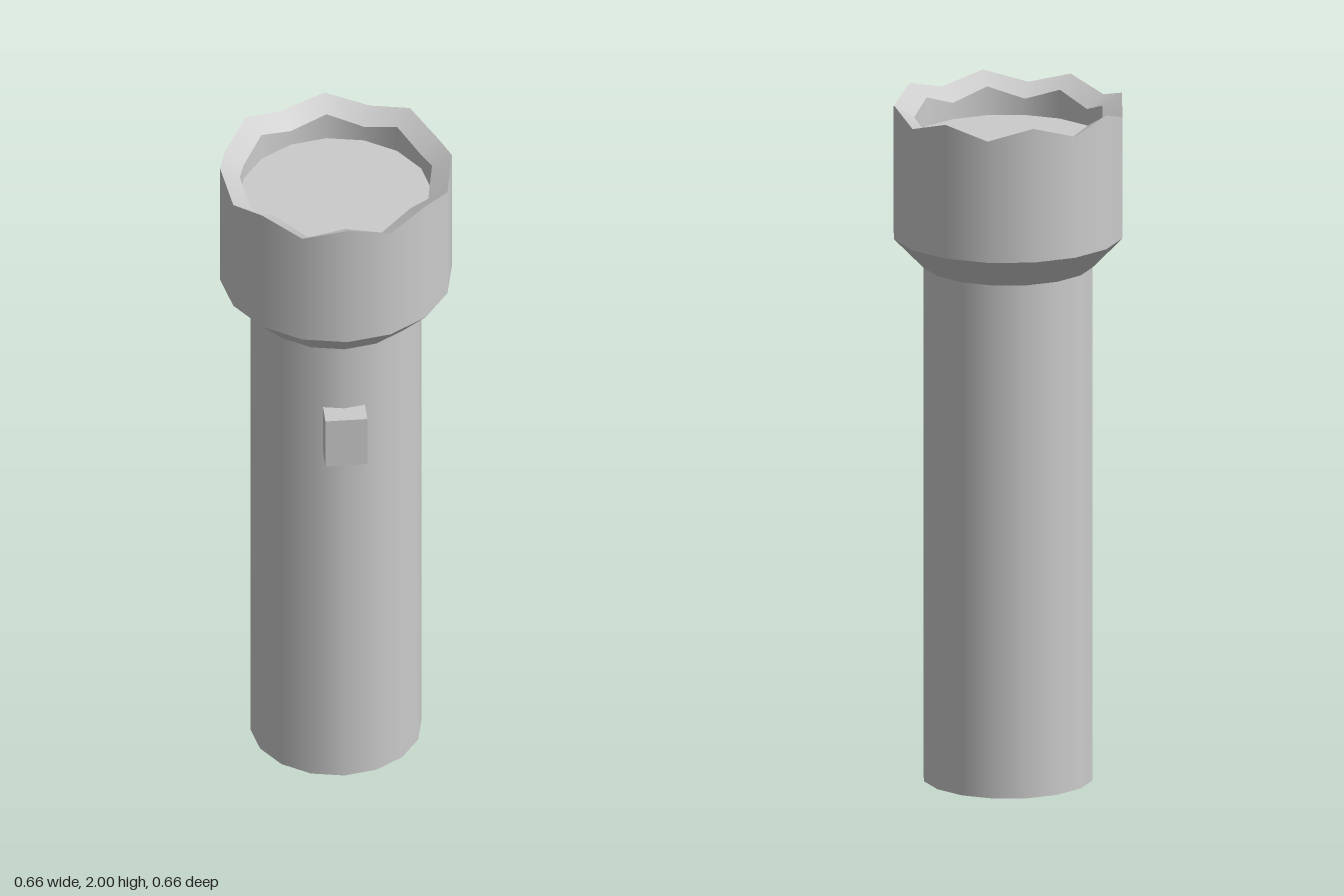
import * as THREE from 'three';

const SIDES = 16;
const NOTCH = 0.037; // depth of the crown notches
const material = new THREE.MeshStandardMaterial({ color: 0xcccccc });

function add(group, name, geometry) {
  const mesh = new THREE.Mesh(geometry, material);
  mesh.name = name;
  group.add(mesh);
  return mesh;
}

// One ring-shaped band between two [radius, height] points, smooth around the axis
function band(from, to) {
  return new THREE.LatheGeometry([new THREE.Vector2(...from), new THREE.Vector2(...to)], SIDES);
}

// Lowers every second column of vertices above the given height to form the crown
function notch(geometry, above) {
  const p = geometry.attributes.position;
  for (let i = 0; i < p.count; i++) {
    const column = Math.floor(i / 2);
    if (p.getY(i) > above && column % 2 === 1) p.setY(i, p.getY(i) - NOTCH);
  }
  return geometry;
}

function disc(radius) {
  return new THREE.CircleGeometry(radius, SIDES);
}

export function createModel() {
  const model = new THREE.Group();
  model.name = 'flashlight';

  const bodyR = 0.245, headR = 0.332, innerR = 0.275;
  const flareY = 1.515, headY = 1.605, lensY = 1.88, rimY = 2, innerRimY = 1.965;

  // Handle tube with a flat end cap
  add(model, 'body', band([bodyR, 0], [bodyR, flareY]));
  add(model, 'endCap', disc(bodyR)).rotation.x = Math.PI / 2;

  // Head: flare, outer wall, sloping crown rim and inner wall
  const head = new THREE.Group();
  head.name = 'head';
  model.add(head);
  add(head, 'flare', band([bodyR, flareY], [headR, headY]));
  add(head, 'outerWall', notch(band([headR, headY], [headR, rimY]), 1.9));
  add(head, 'crownRim', notch(band([headR, rimY], [innerR, innerRimY]), 1.9));
  add(head, 'innerWall', notch(band([innerR, innerRimY], [innerR, lensY]), 1.9));

  // Recessed lens
  const lens = add(head, 'lens', disc(innerR));
  lens.rotation.x = -Math.PI / 2;
  lens.position.y = lensY;

  // Switch on the front of the handle
  add(model, 'switch', new THREE.BoxGeometry(0.12, 0.16, 0.1)).position.set(0, 1.225, 0.252);

  return model;
}
